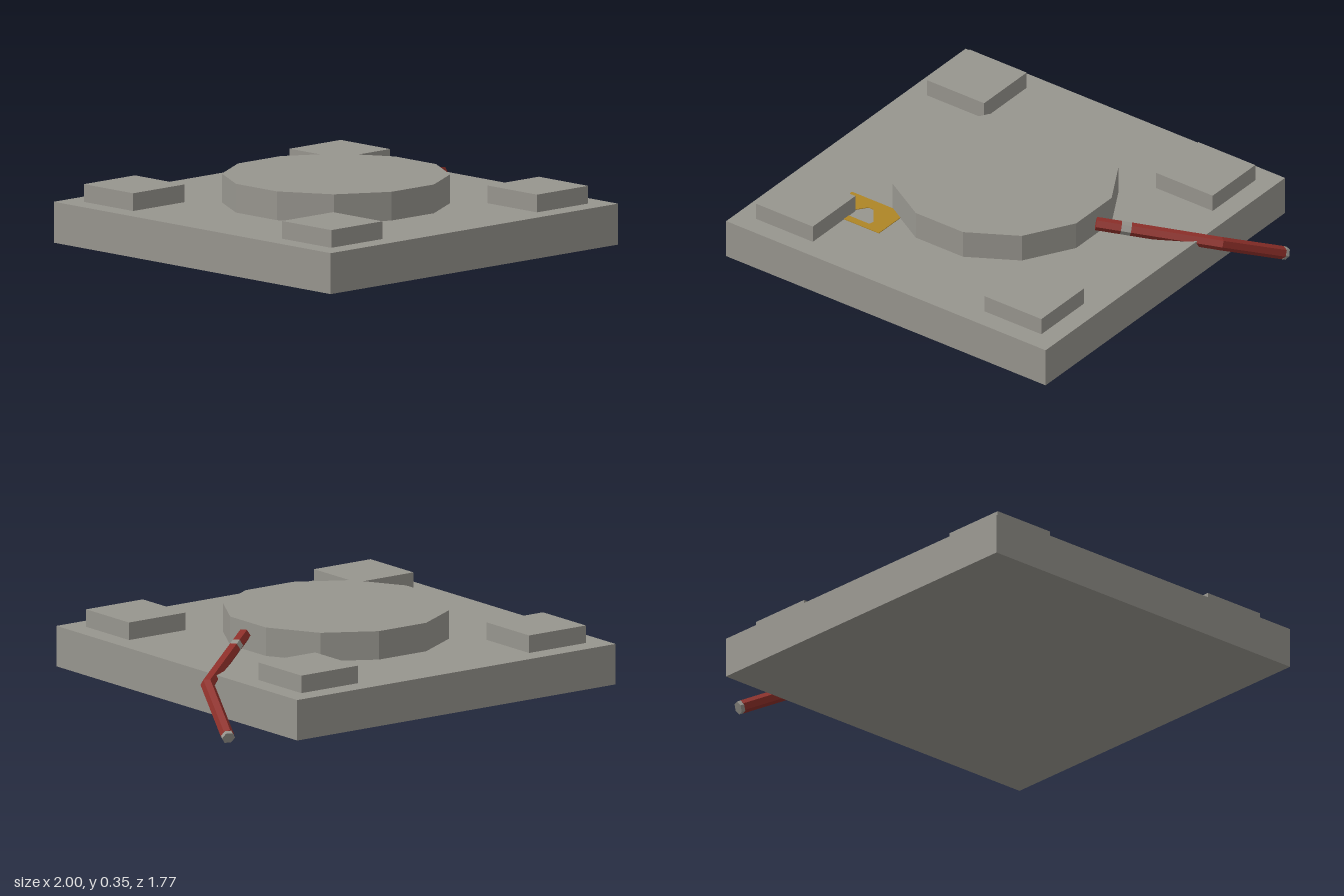
import * as THREE from 'three';

function material(name, color) {
  const m = new THREE.MeshStandardMaterial({ color });
  m.name = name;
  return m;
}

// Six-sided bar along a bent path, mitred at each inner point and capped at both ends.
function barGeometry(path, radius, sides = 6) {
  const dirs = path.slice(1).map((p, i) => p.clone().sub(path[i]).normalize());
  const across = new THREE.Vector3(0, 1, 0).cross(dirs[0]).normalize();
  const up = dirs[0].clone().cross(across);
  let ring = [];
  for (let i = 0; i < sides; i++) {
    const a = (i / sides) * Math.PI * 2;
    ring.push(path[0].clone()
      .addScaledVector(across, Math.cos(a) * radius)
      .addScaledVector(up, Math.sin(a) * radius));
  }
  const out = [];
  const tri = (...pts) => pts.forEach((p) => out.push(p.x, p.y, p.z));
  for (let i = 0; i < sides; i++) tri(path[0], ring[(i + 1) % sides], ring[i]);
  dirs.forEach((d, s) => {
    const end = path[s + 1];
    const normal = d.clone().add(dirs[s + 1] ?? d).normalize();
    const next = ring.map((p) => p.clone().addScaledVector(d, end.clone().sub(p).dot(normal) / d.dot(normal)));
    for (let i = 0; i < sides; i++) {
      const j = (i + 1) % sides;
      tri(ring[i], ring[j], next[j]);
      tri(ring[i], next[j], next[i]);
    }
    ring = next;
  });
  const last = path[path.length - 1];
  for (let i = 0; i < sides; i++) tri(last, ring[i], ring[(i + 1) % sides]);
  const g = new THREE.BufferGeometry();
  g.setAttribute('position', new THREE.Float32BufferAttribute(out, 3));
  g.computeVertexNormals();
  return g;
}

export function createModel() {
  const model = new THREE.Group();
  const grey = material('concreteGrey', 0x97958e);
  const red = material('darkRed', 0x8f302a);
  const yellow = material('signYellow', 0xae8526);
  grey.flatShading = true;

  const add = (name, geometry, mat, x = 0, y = 0, z = 0) => {
    const mesh = new THREE.Mesh(geometry, mat);
    mesh.name = name;
    mesh.position.set(x, y, z);
    model.add(mesh);
    return mesh;
  };

  // Square slab with four corner pads and a twelve-sided plinth
  const cx = -0.1125, slabTop = 0.225;
  add('baseSlab', new THREE.BoxGeometry(1.775, 0.185, 1.775), grey, cx, 0.1325, -0.002);
  for (const sx of [-1, 1]) for (const sz of [-1, 1]) {
    add('cornerPad', new THREE.BoxGeometry(0.316, 0.08, 0.316), grey, cx + sx * 0.635, slabTop + 0.04, sz * 0.635 - 0.002);
  }
  const plinth = add('plinth', new THREE.CylinderGeometry(0.508, 0.508, 0.13, 12), grey, cx, slabTop + 0.065, -0.002);
  plinth.rotation.y = Math.PI / 12;

  // Thin warning plate with a blunt triangular cut-out
  const sign = new THREE.Shape([[-0.15, -0.1], [0.15, -0.1], [0.15, 0.1], [-0.15, 0.1]]
    .map(([x, y]) => new THREE.Vector2(x, y)));
  sign.holes.push(new THREE.Path([[-0.07, -0.065], [0.07, -0.065], [0.076, -0.042], [0.014, 0.042], [-0.014, 0.042], [-0.076, -0.042]]
    .map(([x, y]) => new THREE.Vector2(x, y))));
  const plate = add('warningPlate', new THREE.ExtrudeGeometry(sign, { depth: 0.003, bevelEnabled: false }), yellow, -0.545, slabTop, 0.46);
  plate.rotation.x = -Math.PI / 2;

  // Bent lever with a grey band near the plinth and a grey tip
  const start = new THREE.Vector3(0.395, 0.297, 0.005);
  const bend = new THREE.Vector3(0.845, 0.197, -0.32);
  const end = new THREE.Vector3(0.968, 0.031, -0.638);
  const at = (a, b, t) => a.clone().lerp(b, t);
  const bandStart = at(start, bend, 0.2), bandEnd = at(start, bend, 0.28), tip = at(bend, end, 0.95);
  const r = 0.03;
  add('leverInner', barGeometry([start, bandStart], r), red);
  add('leverBand', barGeometry([bandStart, bandEnd], r), grey);
  add('leverOuter', barGeometry([bandEnd, bend, tip], r), red);
  add('leverTip', barGeometry([tip, end], r), grey);

  return model;
}
